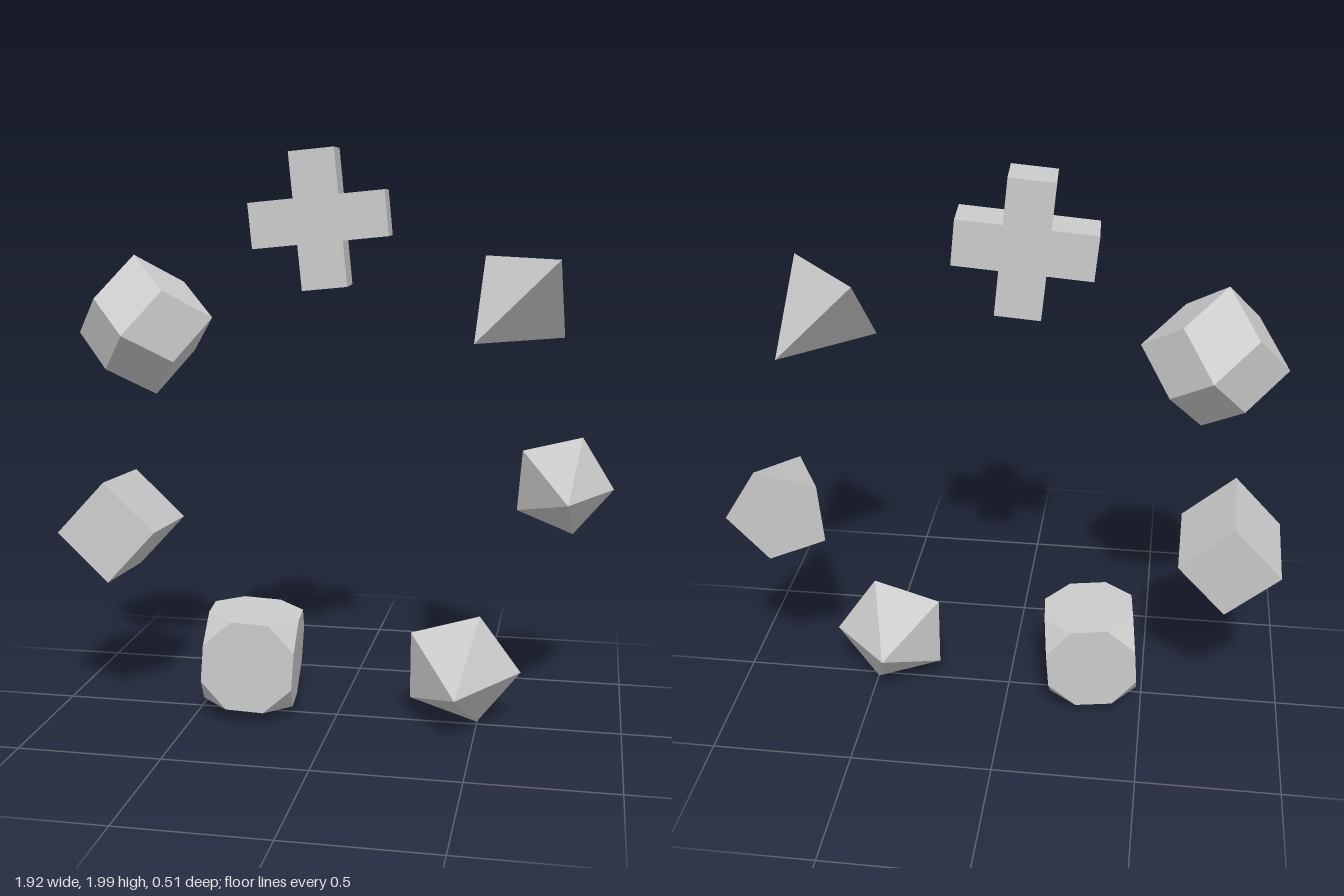
import * as THREE from 'three';
import { ConvexGeometry } from 'three/addons/geometries/ConvexGeometry.js';

const V = (x, y, z) => new THREE.Vector3(x, y, z);
const SIGNS = [-1, 1];

// Regular pentagon in the xy plane, first corner towards +x
function pentagon(radius, z = 0) {
  return Array.from({ length: 5 }, (_, i) => {
    const a = (i / 5) * Math.PI * 2;
    return V(radius * Math.cos(a), radius * Math.sin(a), z);
  });
}

// Corners (±x, ±y, ±z)
function octants(x, y, z) {
  const pts = [];
  for (const i of SIGNS) for (const j of SIGNS) for (const k of SIGNS) pts.push(V(x * i, y * j, z * k));
  return pts;
}

// Flat cross made of five equal squares, extruded by one square
function crossGeometry(w) {
  const a = w / 2, b = w * 1.5;
  const quarter = [[a, a], [a, b], [-a, b]];
  const pts = [];
  for (let q = 0; q < 4; q++) {
    for (const [x, y] of quarter) {
      pts.push(new THREE.Vector2(x, y).rotateAround(new THREE.Vector2(), (q * Math.PI) / 2));
    }
  }
  const geo = new THREE.ExtrudeGeometry(new THREE.Shape(pts), { depth: w, bevelEnabled: false });
  return geo.translate(0, 0, -a);
}

// Eight cube corners plus six face peaks
function rhombicDodecahedron(peak) {
  const pts = octants(peak / 2, peak / 2, peak / 2);
  for (const s of SIGNS) pts.push(V(s * peak, 0, 0), V(0, s * peak, 0), V(0, 0, s * peak));
  return new ConvexGeometry(pts);
}

// Cube with its corners cut so that each face is a regular octagon
function truncatedCube(size) {
  const h = size / 2, t = h * (Math.SQRT2 - 1);
  return new ConvexGeometry([...octants(t, h, h), ...octants(h, t, h), ...octants(h, h, t)]);
}

export function createModel() {
  const model = new THREE.Group();
  model.name = 'ringOfSolids';
  const material = new THREE.MeshStandardMaterial({ color: 0xcccccc, flatShading: true });

  // Place a solid at a position with a tilt in degrees
  function add(name, geometry, position, tilt) {
    const mesh = new THREE.Mesh(geometry, material);
    mesh.name = name;
    mesh.position.set(...position);
    mesh.rotation.set(...tilt.map(THREE.MathUtils.degToRad));
    model.add(mesh);
  }

  // Solids clockwise from the top
  add('cross', crossGeometry(0.154), [-0.056, 1.763, 0], [0, 3.3, 5.6]);
  add('tetrahedron', new THREE.TetrahedronGeometry(0.239), [0.623, 1.502, 0], [0, -2.5, 0]);
  add('pentagonalPyramid', new ConvexGeometry([...pentagon(0.184), V(0, 0, 0.411)]),
    [0.768, 0.829, -0.245], [-1.8, 4.2, -4.3]);
  add('pentagonalBipyramid', new ConvexGeometry([...pentagon(0.213), V(0, 0, 0.252), V(0, 0, -0.252)]),
    [0.437, 0.209, 0.003], [6.8, 1.5, -1.2]);
  add('truncatedCube', truncatedCube(0.32), [-0.305, 0.217, 0], [0, 5.3, -4.2]);
  add('squarePrism', new THREE.BoxGeometry(0.25, 0.25, 0.34), [-0.785, 0.675, 0.007], [-3, -1, 47.4]);
  add('rhombicDodecahedron', rhombicDodecahedron(0.247), [-0.683, 1.395, 0.002], [3.5, -1.2, 7.2]);

  return model;
}
